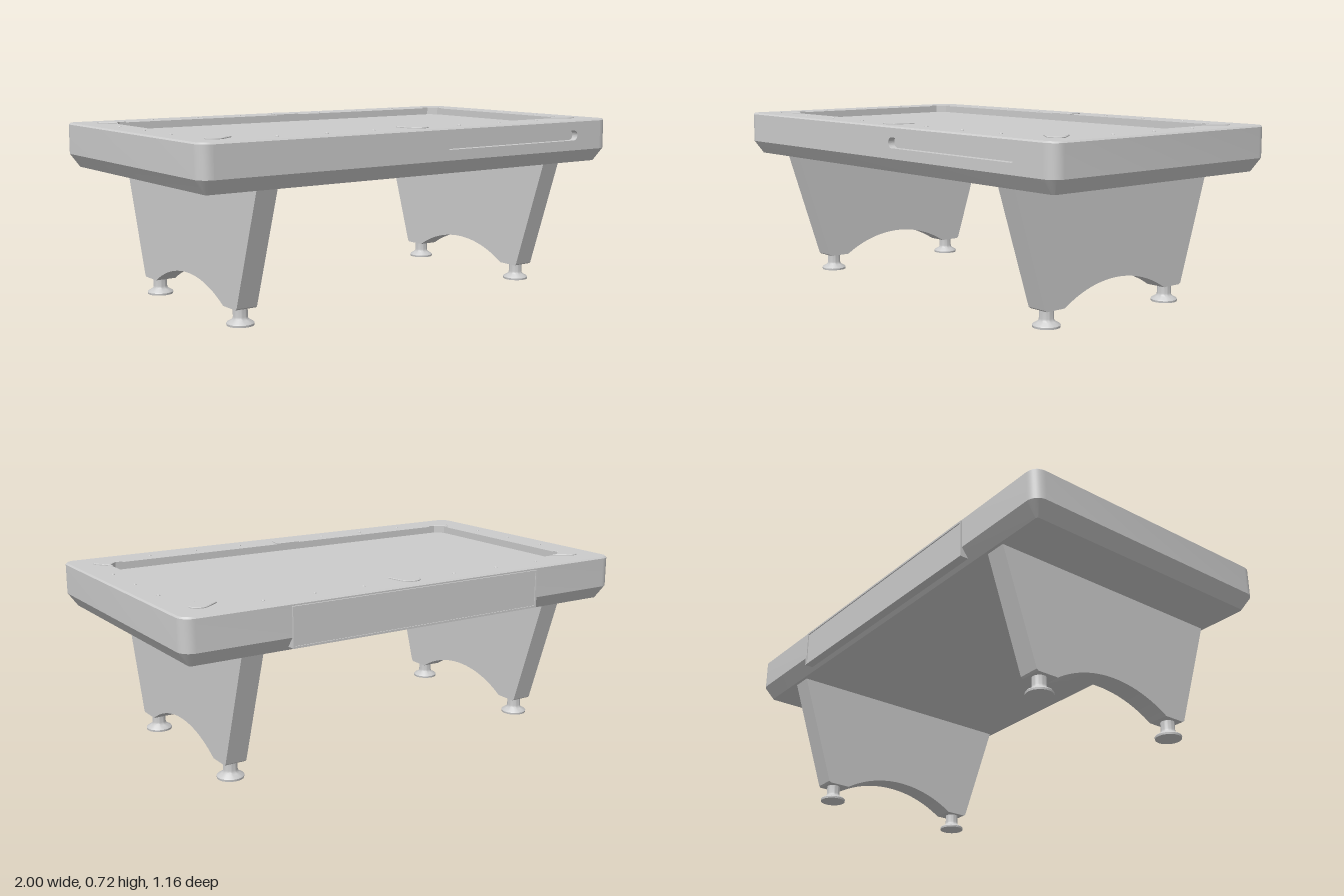
import * as THREE from 'three';
import { toCreasedNormals } from 'three/addons/utils/BufferGeometryUtils.js';

const W = 1, D = 0.576, R = 0.05, SEG = 8;   // half width, half depth, corner radius
const TOP = 0.712, BEND = 0.585, BASE = 0.53; // cabinet heights
const mat = new THREE.MeshStandardMaterial({ color: 0xcccccc });

function add(parent, name, geo, x = 0, y = 0, z = 0) {
  const m = new THREE.Mesh(geo, mat);
  m.name = name;
  m.position.set(x, y, z);
  parent.add(m);
  return m;
}

// Rounded rectangle in plan, shrunk by inset
function outline(inset) {
  const pts = [], r = R - inset;
  [[1, 1], [-1, 1], [-1, -1], [1, -1]].forEach(([sx, sz], k) => {
    for (let i = 0; i <= SEG; i++) {
      const a = (k + i / SEG) * Math.PI / 2;
      pts.push(new THREE.Vector2(sx * (W - R) + r * Math.cos(a), sz * (D - R) + r * Math.sin(a)));
    }
  });
  return pts;
}

const polygon = (list) => new THREE.Shape(list.map(([x, y]) => new THREE.Vector2(x, y)));
const rect = (x0, y0, x1, y1) => polygon([[x0, y0], [x1, y0], [x1, y1], [x0, y1]]);
const extrude = (shape, depth, extra = {}) =>
  new THREE.ExtrudeGeometry(shape, { depth, bevelEnabled: false, curveSegments: 12, ...extra });

// Stacked plan outlines joined into the cabinet sides, leaving out the flat front band
function cabinetSides() {
  const rings = [[BASE, 0.04], [BEND, 0], [0.706, 0], [TOP, 0.006]];
  const loops = rings.map(([y, inset]) => outline(inset).map((p) => [p.x, y, p.y]));
  const pos = [], n = loops[0].length;
  for (let l = 0; l < loops.length - 1; l++) {
    for (let i = 0; i < n; i++) {
      if (l === 1 && i === SEG) continue;
      const j = (i + 1) % n;
      const a = loops[l][i], b = loops[l][j], c = loops[l + 1][j], d = loops[l + 1][i];
      pos.push(...a, ...d, ...c, ...a, ...c, ...b);
    }
  }
  const g = new THREE.BufferGeometry();
  g.setAttribute('position', new THREE.Float32BufferAttribute(pos, 3));
  return toCreasedNormals(g, 0.5);
}

// Low plate with a softened edge lying on the rails
function plate(shape) {
  return extrude(shape, 0.003, {
    bevelEnabled: true, bevelThickness: 0.002, bevelSize: 0.004, bevelOffset: -0.004, bevelSegments: 1,
  }).rotateX(-Math.PI / 2);
}

export function createModel() {
  const table = new THREE.Group();
  table.name = 'poolTable';
  table.position.z = 0.003;

  // Cabinet
  const cabinet = new THREE.Group();
  cabinet.name = 'cabinet';
  table.add(cabinet);
  add(cabinet, 'cabinetSides', cabinetSides());
  add(cabinet, 'cabinetBottom', new THREE.ShapeGeometry(new THREE.Shape(outline(0.04))).rotateX(Math.PI / 2), 0, BASE, 0);

  // Front band with the ball return slot
  const band = rect(-(W - R), BEND, W - R, 0.706);
  const slot = new THREE.Path();
  const sr = 0.021, sy = 0.648;
  slot.absarc(0.08 + sr, sy, sr, Math.PI / 2, Math.PI * 1.5);
  slot.absarc(0.81 - sr, sy, sr, -Math.PI / 2, Math.PI / 2);
  slot.closePath();
  band.holes.push(slot);
  add(cabinet, 'frontBand', extrude(band, 0.03), 0, 0, D - 0.03);
  add(cabinet, 'ballReturnBack', new THREE.BoxGeometry(0.76, 0.07, 0.01), 0.445, sy, D - 0.034);

  // Rails around the sunken bed, with corners cut across
  const rails = new THREE.Shape(outline(0.006));
  const fx = 0.86, fz = 0.43, cut = 0.035;
  rails.holes.push(polygon([
    [fx, -fz + cut], [fx, fz - cut], [fx - cut, fz], [-fx + cut, fz],
    [-fx, fz - cut], [-fx, -fz + cut], [-fx + cut, -fz], [fx - cut, -fz],
  ]));
  add(table, 'rails', extrude(rails, 0.03).rotateX(-Math.PI / 2), 0, TOP - 0.03, 0);
  add(table, 'playingBed', new THREE.BoxGeometry(1.76, 0.02, 0.9), 0, TOP - 0.04, 0);

  // Pocket plates
  for (const sz of [-1, 1]) {
    const side = new THREE.Shape();
    side.moveTo(-0.057, sz * fz);
    side.lineTo(-0.045, sz * 0.495);
    side.bezierCurveTo(-0.035, sz * 0.542, 0.035, sz * 0.542, 0.045, sz * 0.495);
    side.lineTo(0.057, sz * fz);
    side.closePath();
    add(table, 'sidePocketPlate', plate(side), 0, TOP, 0);
    for (const sx of [-1, 1]) {
      const corner = new THREE.Shape();
      corner.moveTo(sx * 0.795, sz * fz);
      corner.lineTo(sx * 0.855, sz * 0.474);
      corner.bezierCurveTo(sx * 0.885, sz * 0.49, sx * 0.925, sz * 0.465, sx * 0.907, sz * 0.432);
      corner.lineTo(sx * fx, sz * 0.367);
      corner.lineTo(sx * fx, sz * (fz - cut));
      corner.lineTo(sx * (fx - cut), sz * fz);
      corner.closePath();
      add(table, 'cornerPocketPlate', plate(corner), 0, TOP, 0);
    }
  }

  // Rail sights
  const dot = new THREE.SphereGeometry(0.007, 12, 8).scale(1, 0.7, 1);
  for (const s of [-1, 1]) {
    for (const x of [-0.645, -0.43, -0.215, 0.215, 0.43, 0.645]) add(table, 'railSight', dot, x, TOP, s * 0.493);
    for (const z of [-0.215, 0, 0.215]) add(table, 'railSight', dot, s * 0.922, TOP, z);
  }

  // Framed panel on the back
  const frame = rect(-0.575, 0.545, 0.575, 0.7);
  frame.holes.push(rect(-0.567, 0.553, 0.567, 0.692));
  add(table, 'backPanelFrame', extrude(frame, 0.04), 0, 0, -D - 0.007);
  add(table, 'backPanel', new THREE.BoxGeometry(1.136, 0.141, 0.034), 0, 0.6225, -D + 0.014);

  // Tapered end legs with an arched foot line, each on two levelling feet
  const arch = 0.275, rise = 0.08, legBase = 0.068;
  const arcR = (arch * arch + rise * rise) / (2 * rise);
  const half = Math.asin(arch / arcR);
  const leg = new THREE.Shape();
  leg.moveTo(0.525, BASE + 0.005);
  leg.lineTo(-0.525, BASE + 0.005);
  leg.lineTo(-0.374, legBase + 0.006);
  leg.lineTo(-0.366, legBase);
  leg.lineTo(-arch, legBase);
  leg.absarc(0, legBase + rise - arcR, arcR, Math.PI / 2 + half, Math.PI / 2 - half, true);
  leg.lineTo(0.366, legBase);
  leg.lineTo(0.374, legBase + 0.006);
  leg.closePath();
  const legGeo = toCreasedNormals(extrude(leg, 0.088, { curveSegments: 24 }).translate(0, 0, -0.044).rotateY(Math.PI / 2), 0.5);
  const footGeo = toCreasedNormals(new THREE.LatheGeometry([
    [0, 0], [0.052, 0], [0.053, 0.008], [0.05, 0.012], [0.034, 0.021], [0.029, 0.027], [0.028, 0.034], [0.028, 0.07], [0, 0.07],
  ].map(([x, y]) => new THREE.Vector2(x, y)), 28), 0.6);
  for (const sx of [-1, 1]) {
    add(table, 'endLeg', legGeo, sx * 0.708, 0, 0);
    for (const sz of [-1, 1]) add(table, 'levellingFoot', footGeo, sx * 0.708, 0, sz * 0.326);
  }

  const model = new THREE.Group();
  model.name = 'model';
  model.add(table);
  return model;
}
